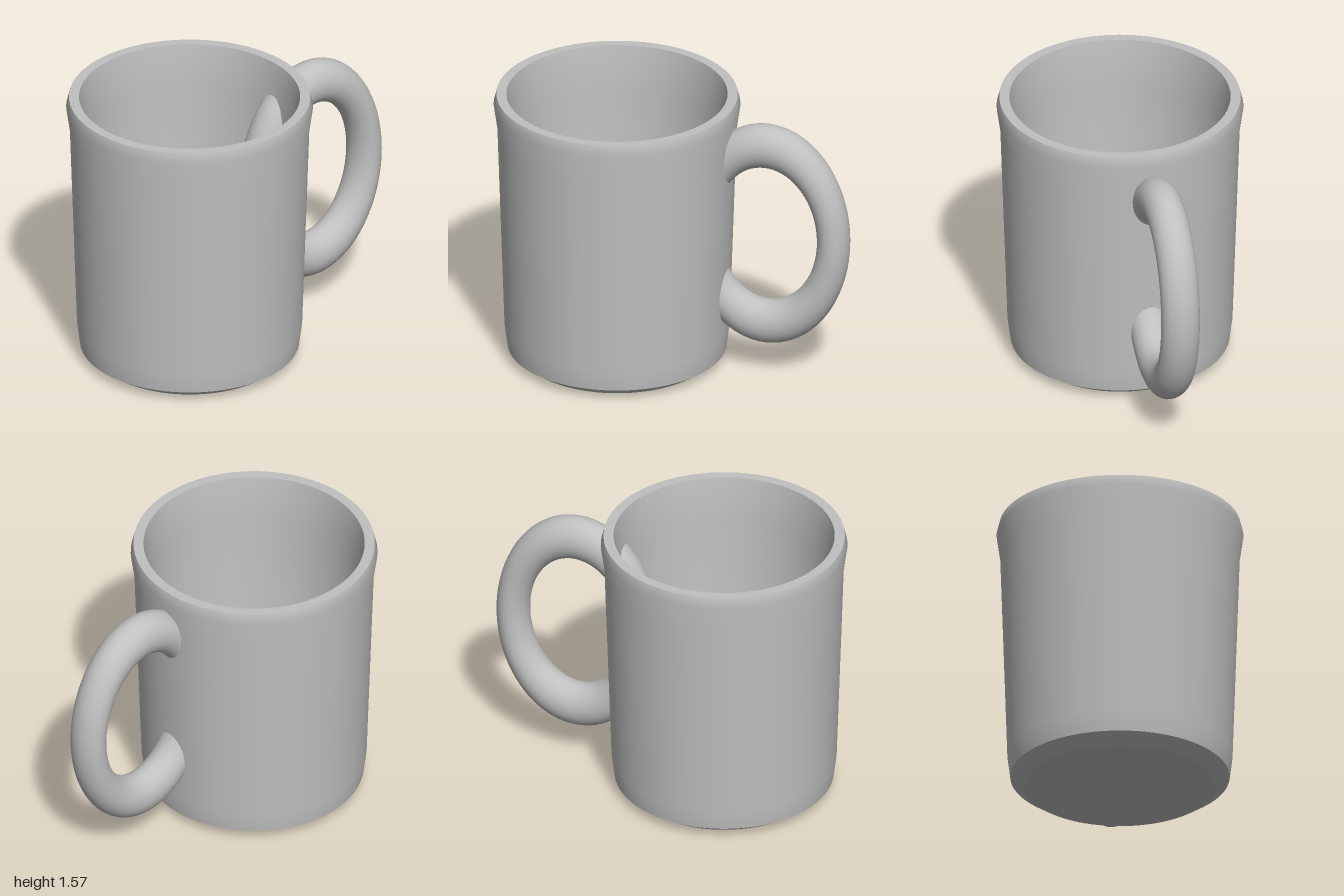
import * as THREE from 'three';

export function createModel() {
  const mug = new THREE.Group();
  mug.name = 'mug';
  const glaze = new THREE.MeshStandardMaterial({ color: 0xc0c0c0 });
  glaze.name = 'grey glaze';

  // Cup body: each band is smooth inside, with a sharp edge to the next band
  const body = new THREE.Group();
  body.name = 'body';
  body.position.x = -0.325;
  const bands = {
    base: [[0, 0], [0.52, 0]],
    baseBevel: [[0.52, 0], [0.6, 0.055]],
    outerWall: [[0.6, 0.055], [0.616, 0.18], [0.655, 1.37], [0.675, 1.51], [0.66, 1.57]],
    rim: [[0.66, 1.57], [0.605, 1.57]],
    innerWall: [[0.605, 1.57], [0.592, 1.47], [0.582, 1.3], [0.56, 0.22], [0.485, 0.11]],
    floor: [[0.485, 0.11], [0, 0.11]],
  };
  for (const [name, points] of Object.entries(bands)) {
    const profile = points.map(([r, y]) => new THREE.Vector2(r, y));
    const band = new THREE.Mesh(new THREE.LatheGeometry(profile, 96), glaze);
    band.name = name;
    body.add(band);
  }
  mug.add(body);

  // Oval ring handle, passing through the wall
  const ring = new THREE.TorusGeometry(0.38, 0.09, 32, 96);
  ring.scale(1, 1.394, 1.19);
  const handle = new THREE.Mesh(ring, glaze);
  handle.name = 'handle';
  handle.position.set(0.53, 0.84, 0);
  mug.add(handle);

  return mug;
}
